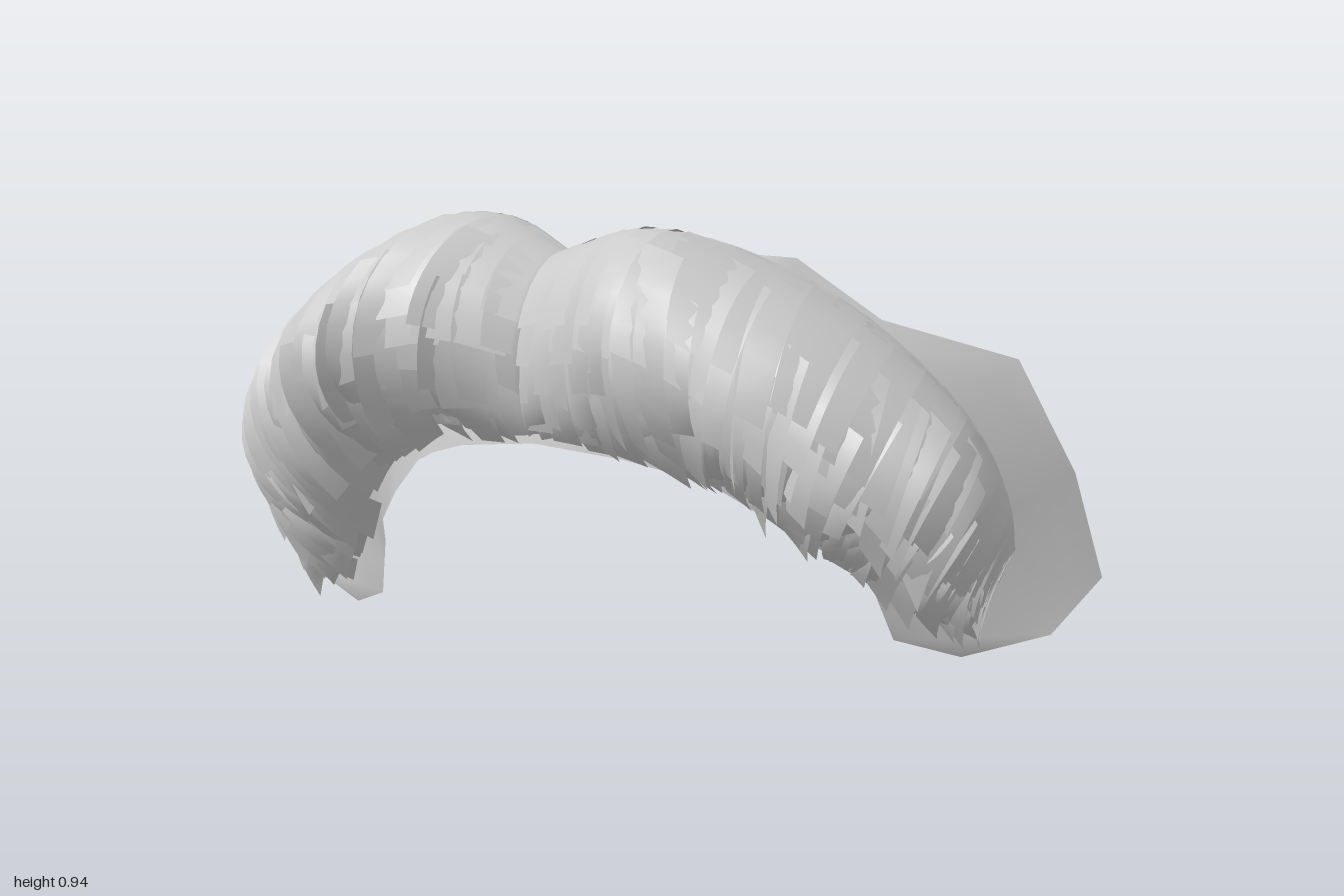
import * as THREE from 'three';
import { mergeGeometries } from 'three/addons/utils/BufferGeometryUtils.js';

// Small seeded random, 0..1
function makeRandom(seed) {
  return () => {
    seed = (seed * 16807) % 2147483647;
    return seed / 2147483647;
  };
}

const curve = (pts) => new THREE.CatmullRomCurve3(pts.map((p) => new THREE.Vector3(...p)));

// Guide lines of one half, from the middle to the tip
const rootLine = curve([[0, 0.86, 0.09], [0.2, 0.91, 0.0], [0.45, 0.83, -0.09], [0.66, 0.68, -0.17],
  [0.82, 0.5, -0.22], [0.88, 0.34, -0.25], [0.88, 0.24, -0.265]]);
const bulgeLine = curve([[0, 0.75, 0.335], [0.23, 0.81, 0.41], [0.5, 0.68, 0.345], [0.69, 0.53, 0.19],
  [0.82, 0.38, 0.05], [0.86, 0.23, -0.08], [0.86, 0.14, -0.18]]);
const underLine = curve([[0, 0.47, 0.26], [0.2, 0.45, 0.23], [0.38, 0.39, 0.13], [0.5, 0.28, 0.03],
  [0.61, 0.17, -0.08], [0.69, 0.1, -0.16], [0.8, 0.05, -0.26]]);

// Point on the bulging hair body: u runs middle to tip, s runs from root over the front to the underside
function bodyPoint(u, s, fullness) {
  const t = THREE.MathUtils.clamp(u, 0, 1);
  const top = rootLine.getPoint(t), low = underLine.getPoint(t);
  const mid = top.clone().add(low).multiplyScalar(0.5);
  const half = top.sub(low).multiplyScalar(0.5);
  const out = bulgeLine.getPoint(t).sub(mid);
  return mid.addScaledVector(half, Math.cos(Math.PI * s))
    .addScaledVector(out, Math.sin(Math.PI * s) * fullness);
}

// Smooth open sheet from a grid of points
function gridSheet(cols, rows, pointAt) {
  const pos = [], index = [];
  for (let i = 0; i <= cols; i++) {
    for (let j = 0; j <= rows; j++) {
      pos.push(...pointAt(i / cols, j / rows).toArray());
      if (i < cols && j < rows) {
        const a = i * (rows + 1) + j, b = a + rows + 1;
        index.push(a, a + 1, b, b, a + 1, b + 1);
      }
    }
  }
  const g = new THREE.BufferGeometry();
  g.setAttribute('position', new THREE.Float32BufferAttribute(pos, 3));
  g.setIndex(index);
  g.computeVertexNormals();
  return g;
}

// One curved hair card, tilted so its edge stands off its neighbour
function hairCard(side, c) {
  return gridSheet(2, 7, (w, v) => {
    const s = c.from + (c.to - c.from) * v;
    const u = c.u + (w - 0.5) * c.width * (1 - c.taper * v) + c.sweep * v;
    const p = bodyPoint(u, s, c.fullness + c.tilt * (w - 0.5) + c.lift * v * v);
    p.y -= c.drop * v * v * w;
    p.x *= side;
    return p;
  });
}

// Layers of cards, from the long smooth outer locks to the ragged fringe and the hidden filling
const layers = [
  { name: 'outerLocks', count: 18, from: 0, to: 0.55, width: 0.14, taper: 0.1, full: 0.97, vary: 0.05, tilt: 0.17, lift: 0.02, sweep: 0.06, jitter: 0.07, drop: 0.01 },
  { name: 'middleLocks', count: 30, from: 0.2, to: 0.67, width: 0.08, taper: 0.2, full: 0.92, vary: 0.09, tilt: 0.25, lift: 0.05, sweep: 0.06, jitter: 0.08, drop: 0.03 },
  { name: 'lowerFringe', count: 40, from: 0.4, to: 0.8, width: 0.055, taper: 0.3, full: 0.86, vary: 0.12, tilt: 0.3, lift: 0.05, sweep: 0.04, jitter: 0.08, drop: 0.05 },
  { name: 'innerFringe', count: 40, from: 0.5, to: 0.95, width: 0.07, taper: 0.25, full: 0.78, vary: 0.16, tilt: 0.25, lift: 0.04, sweep: 0.03, jitter: 0.05, drop: 0.05 },
  { name: 'innerLocks', count: 16, from: 0.03, to: 0.9, width: 0.1, taper: 0.2, full: 0.72, vary: 0.15, tilt: 0.2, lift: 0.05, sweep: 0.05, jitter: 0.05, drop: 0.04 },
  { name: 'rootTufts', count: 18, from: 0, to: 0.4, width: 0.09, taper: 0.1, full: 0.45, vary: 0.2, tilt: 0.2, lift: 0, sweep: 0.04, jitter: 0.03, drop: 0 },
];

function hairLayer(side, layer, seed) {
  const rand = makeRandom(seed);
  const spread = () => rand() * 2 - 1;
  const cards = [];
  for (let i = 0; i < layer.count; i++) {
    const u = 0.02 + 0.95 * (i / (layer.count - 1));
    const calm = Math.min(1, 0.3 + u * 2.5); // locks lie flatter near the middle
    cards.push(hairCard(side, {
      u: u + spread() * 0.015,
      width: layer.width * (1 + 0.3 * spread()),
      from: Math.max(-0.03, layer.from + spread() * layer.jitter),
      to: Math.min(0.98, layer.to + spread() * layer.jitter),
      fullness: layer.full + spread() * layer.vary * calm,
      tilt: layer.tilt * (0.3 + rand()) * calm,
      lift: layer.lift * rand(),
      sweep: layer.sweep * Math.min(1, u * 4) * (0.5 + rand()),
      taper: layer.taper * (0.5 + rand()),
      drop: layer.drop * spread() * calm,
    }));
  }
  return mergeGeometries(cards);
}

// Backing skin of one half: matching points of the upper and lower edge, middle to tip
const upperEdge = [[0, 0.78, 0.12], [0.18, 0.83, 0.05], [0.34, 0.87, -0.05], [0.43, 0.86, -0.11], [0.6, 0.73, -0.18], [0.87, 0.65, -0.3],
  [0.96, 0.4, -0.385], [1, 0.17, -0.43], [0.92, 0.05, -0.35], [0.75, 0, -0.26]];
const lowerEdge = [[0, 0.475, 0.27], [0.2, 0.45, 0.23], [0.3, 0.42, 0.18], [0.37, 0.39, 0.13], [0.48, 0.3, 0.04], [0.57, 0.22, -0.06],
  [0.605, 0.16, -0.13], [0.62, 0.1, -0.15], [0.635, 0.04, -0.17], [0.75, 0, -0.26]];

function backingGeometry() {
  const n = upperEdge.length - 1;
  return gridSheet(n * 2, 8, (a, v) => {
    const k = Math.round(a * n * 2) - n, i = Math.abs(k);
    const p = new THREE.Vector3(...upperEdge[i]).lerp(new THREE.Vector3(...lowerEdge[i]), v);
    p.z += 0.035 * Math.sin(Math.PI * v) * (1 - i / n);
    p.x *= Math.sign(k);
    return p;
  });
}

export function createModel() {
  const model = new THREE.Group();
  model.name = 'moustache';
  const material = new THREE.MeshStandardMaterial({ color: 0xcccccc, side: THREE.DoubleSide });

  const backing = new THREE.Mesh(backingGeometry(), material);
  backing.name = 'backing';
  model.add(backing);

  for (const side of [1, -1]) {
    const half = new THREE.Group();
    half.name = side > 0 ? 'leftHalf' : 'rightHalf';
    layers.forEach((layer, i) => {
      const mesh = new THREE.Mesh(hairLayer(side, layer, 101 + i * 37 + (side > 0 ? 0 : 911)), material);
      mesh.name = layer.name;
      half.add(mesh);
    });
    model.add(half);
  }
  return model;
}
